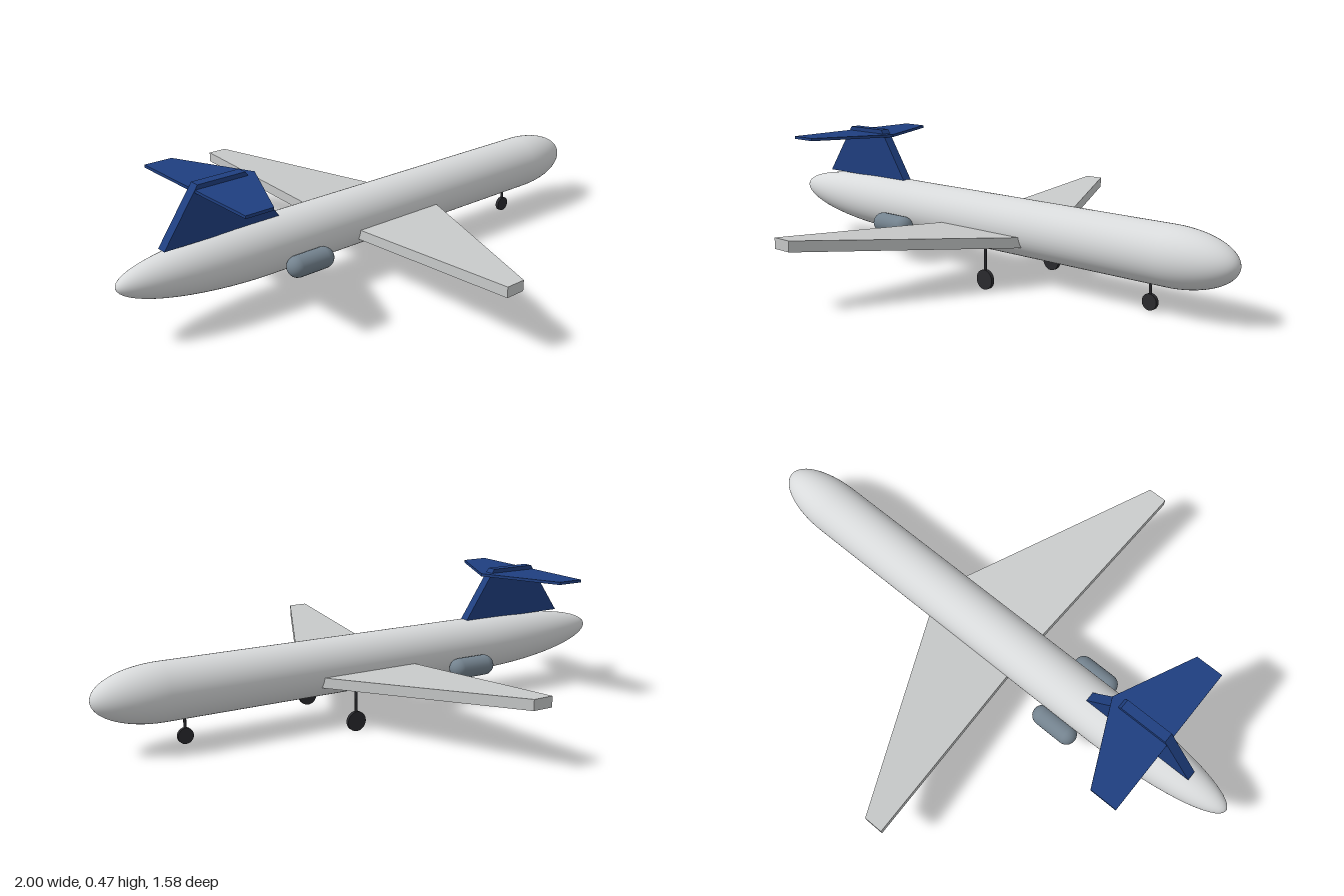
import * as THREE from 'three';

const paint = (name, color) => {
  const m = new THREE.MeshStandardMaterial({ color });
  m.name = name;
  return m;
};

export function createModel() {
  const hull = paint('hull light grey', 0xd8dadb);
  const silver = paint('wing silver', 0xc8caca);
  const blue = paint('tail blue', 0x1f3f80);
  const slate = paint('engine slate', 0x74838f);
  const rubber = paint('gear black', 0x2a2a2e);

  const plane = new THREE.Group();
  plane.name = 'airplane';
  const add = (name, geometry, material, x = 0, y = 0, z = 0) => {
    const mesh = new THREE.Mesh(geometry, material);
    mesh.name = name;
    mesh.position.set(x, y, z);
    plane.add(mesh);
    return mesh;
  };

  // Flat plate from an [x, z] outline, rising by slope along |z|
  const plate = (outline, y, thickness, slope = 0) => {
    const shape = new THREE.Shape(outline.map(([x, z]) => new THREE.Vector2(x, -z)));
    const g = new THREE.ExtrudeGeometry(shape, { depth: thickness, bevelEnabled: false });
    g.rotateX(-Math.PI / 2);
    const p = g.attributes.position;
    for (let i = 0; i < p.count; i++) p.setY(i, p.getY(i) + y + slope * Math.abs(p.getZ(i)));
    g.computeVertexNormals();
    return g;
  };

  // Fuselage: elliptical tail cone, straight barrel, rounded nose
  const R = 0.098, tailLength = 0.52, noseLength = 0.23, steps = 16;
  const profile = [];
  for (let i = 0; i <= steps; i++) {
    const a = (i / steps) * Math.PI / 2;
    profile.push(new THREE.Vector2(R * Math.sin(a), -1 + tailLength * (1 - Math.cos(a))));
  }
  for (let i = 0; i <= steps; i++) {
    const a = (i / steps) * Math.PI / 2;
    profile.push(new THREE.Vector2(R * Math.cos(a), 1 - noseLength * (1 - Math.sin(a))));
  }
  const body = new THREE.LatheGeometry(profile, 48);
  body.rotateZ(-Math.PI / 2);
  // Slight upsweep of the tail
  const bp = body.attributes.position;
  for (let i = 0; i < bp.count; i++) {
    const t = Math.max(0, (-0.48 - bp.getX(i)) / tailLength);
    bp.setY(i, bp.getY(i) + 0.016 * t ** 1.5);
  }
  add('fuselage', body, hull, 0, 0.187, 0);

  // Vertical fin
  const finShape = new THREE.Shape([
    new THREE.Vector2(-0.84, 0.28), new THREE.Vector2(-0.41, 0.28),
    new THREE.Vector2(-0.535, 0.465), new THREE.Vector2(-0.71, 0.465),
  ]);
  const fin = new THREE.ExtrudeGeometry(finShape, { depth: 0.036, bevelEnabled: false });
  add('fin', fin, blue, 0, 0, -0.018);

  // Horizontal stabilizer near the top of the fin
  add('stabilizer', plate([
    [-0.72, -0.285], [-0.62, -0.285], [-0.488, 0], [-0.62, 0.285], [-0.72, 0.285],
  ], 0.44, 0.01), blue);

  for (const s of [1, -1]) {
    const side = s > 0 ? 'Front' : 'Back';

    // Swept wing with dihedral
    add('wing' + side, plate([
      [-0.129, 0.08 * s], [0.24, 0.08 * s], [-0.09, 0.79 * s], [-0.16, 0.79 * s],
    ], 0.132, 0.036, 0.08), silver);

    // Engine pod
    const pod = new THREE.CapsuleGeometry(0.037, 0.106, 10, 24);
    pod.rotateZ(Math.PI / 2);
    add('engine' + side, pod, slate, -0.364, 0.137, 0.118 * s);
  }

  // Landing gear: strut and wheel
  const gear = (name, x, z, radius, top) => {
    const strut = new THREE.CylinderGeometry(0.005, 0.005, top - radius, 10);
    add(name + 'Strut', strut, rubber, x, (top + radius) / 2, z);
    const wheel = new THREE.CylinderGeometry(radius, radius, 0.013, 24);
    wheel.rotateX(Math.PI / 2);
    add(name + 'Wheel', wheel, rubber, x, radius, z);
  };
  gear('mainGearFront', 0.157, 0.175, 0.034, 0.155);
  gear('mainGearBack', 0.157, -0.175, 0.034, 0.155);
  gear('noseGear', 0.697, 0, 0.027, 0.11);

  return plane;
}
